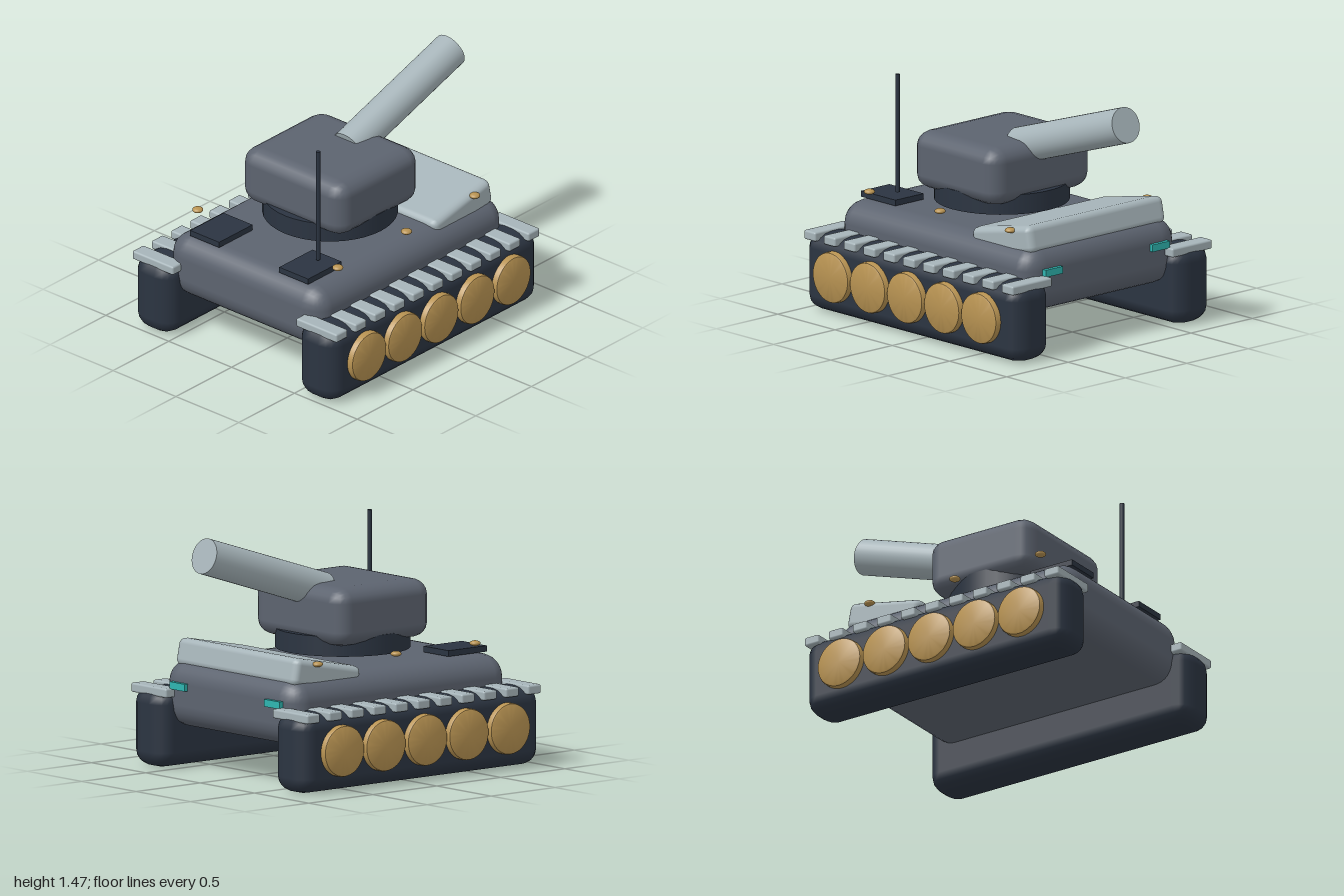
import * as THREE from 'three';
import { RoundedBoxGeometry } from 'three/addons/geometries/RoundedBoxGeometry.js';
import { toCreasedNormals } from 'three/addons/utils/BufferGeometryUtils.js';

function material(name, color) {
  const m = new THREE.MeshStandardMaterial({ color });
  m.name = name;
  return m;
}

// Rounded box whose corner radius can differ along each axis
function softBox(w, h, d, rx, ry, rz, segments = 2) {
  return new RoundedBoxGeometry(w / rx, h / ry, d / rz, segments, 1).scale(rx, ry, rz);
}

export function createModel() {
  const armour = material('slate armour', 0x5c636f);
  const dark = material('dark navy', 0x2b3441);
  const pale = material('pale steel', 0xa6b4b9);
  const gold = material('brass', 0xb89352);
  const teal = material('teal lamp', 0x2fb5b0);

  const model = new THREE.Group();
  model.name = 'tank';
  const add = (name, geometry, mat, x, y, z, parent = model) => {
    const mesh = new THREE.Mesh(geometry, mat);
    mesh.name = name;
    mesh.position.set(x, y, z);
    parent.add(mesh);
    return mesh;
  };

  // Hull and sloped deck panel
  add('hull', softBox(1.235, 0.4, 1.695, 0.15, 0.135, 0.12, 3), armour, 0, 0.455, 0.06);
  const panel = add('deckPanel', softBox(1.11, 0.17, 0.52, 0.05, 0.04, 0.04), pale, 0, 0.653, -0.468);
  panel.rotation.x = 0.2;

  // Turret, its ring and the raised barrel
  add('turretRing', new THREE.CylinderGeometry(0.405, 0.405, 0.12, 40), dark, 0, 0.77, 0.115);
  add('turret', softBox(0.82, 0.355, 0.735, 0.11, 0.09, 0.1, 2), armour, 0, 0.953, 0.113);
  const barrel = add('barrel', new THREE.CylinderGeometry(0.109, 0.109, 0.972, 32), pale, 0, 1.214, -0.505);
  barrel.rotation.x = -Math.PI / 2 + 0.314;

  // Antenna
  add('antenna', new THREE.CylinderGeometry(0.014, 0.014, 0.725, 12), dark, 0.365, 1.073, 0.635);

  // Shared geometries for the mirrored parts
  const trackGeo = softBox(0.305, 0.48, 1.875, 0.12, 0.095, 0.1);
  const padGeo = softBox(0.325, 0.056, 0.102, 0.012, 0.012, 0.012);
  const wheelProfile = [[0, -0.05], [0.155, -0.05], [0.155, 0.03], [0.151, 0.041], [0.142, 0.046], [0, 0.046]]
    .map(([r, y]) => new THREE.Vector2(r, y));
  const wheelGeo = toCreasedNormals(new THREE.LatheGeometry(wheelProfile, 40), 0.7);
  const boltGeo = new THREE.SphereGeometry(0.033, 20, 12).scale(1, 0.5, 1);
  const hatchGeo = new THREE.BoxGeometry(0.23, 0.036, 0.3);
  const lampGeo = new THREE.BoxGeometry(0.14, 0.044, 0.03);

  for (const side of [1, -1]) {
    const label = side > 0 ? 'left' : 'right';
    const running = new THREE.Group();
    running.name = label + 'RunningGear';
    model.add(running);

    add('track', trackGeo, dark, side * 0.652, 0.24, 0.0625, running);
    // Tread pads along the top of the track
    for (let i = 0; i < 11; i++) {
      add('treadPad', padGeo, pale, side * 0.651, 0.463, 0.925 - i * 0.1726, running);
    }
    // Road wheels
    for (let i = 0; i < 5; i++) {
      const wheel = add('roadWheel', wheelGeo, gold, side * 0.8, 0.25, 0.712 - i * 0.324, running);
      wheel.rotation.z = -side * Math.PI / 2;
    }

    // Deck fittings
    for (const z of [-0.555, 0.058, 0.675]) {
      add(label + 'Bolt', boltGeo, gold, side * 0.557, 0.738, z);
    }
    add(label + 'Hatch', hatchGeo, dark, side * 0.354, 0.677, 0.692);
    add(label + 'Lamp', lampGeo, teal, side * 0.435, 0.508, -0.795);
  }

  return model;
}
